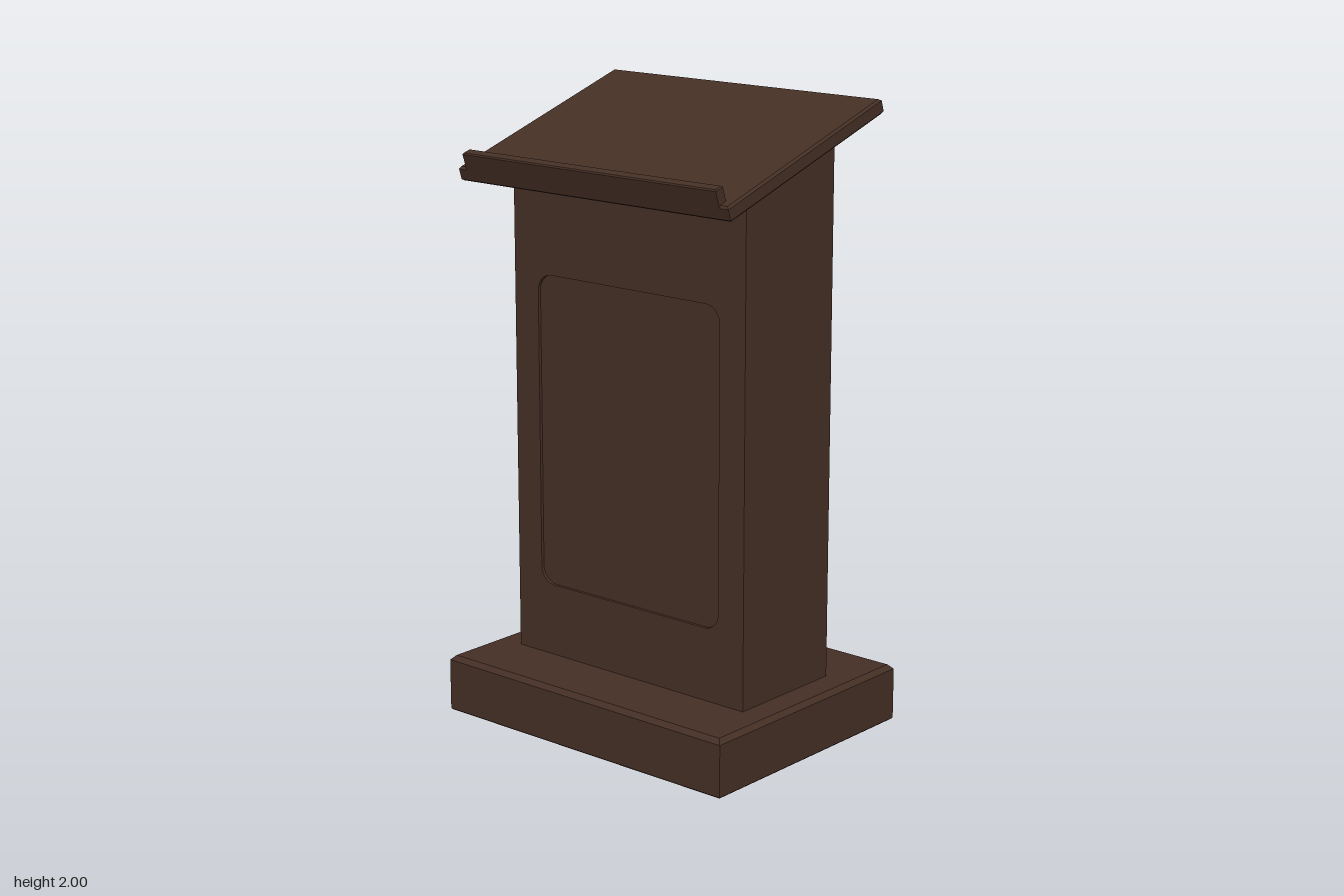
import * as THREE from 'three';

// Box with chamfered edges: stacked rectangular sections of [inset, y]
function loftedBox(halfW, halfD, sections) {
  const corners = [[1, 1], [1, -1], [-1, -1], [-1, 1]];
  const pos = [], idx = [];
  for (const [inset, y] of sections) {
    for (const [sx, sz] of corners) pos.push(sx * (halfW - inset), y, sz * (halfD - inset));
  }
  const last = (sections.length - 1) * 4;
  for (let r = 0; r < last; r += 4) {
    for (let i = 0; i < 4; i++) {
      const a = r + i, b = r + (i + 1) % 4;
      idx.push(a, b, b + 4, a, b + 4, a + 4);
    }
  }
  idx.push(0, 2, 1, 0, 3, 2, last, last + 1, last + 2, last, last + 2, last + 3);
  const g = new THREE.BufferGeometry();
  g.setAttribute('position', new THREE.Float32BufferAttribute(pos, 3));
  g.setIndex(idx);
  const flat = g.toNonIndexed();
  flat.computeVertexNormals();
  return flat;
}

function roundedRect(path, x, y0, y1, r) {
  path.moveTo(-x + r, y0);
  path.lineTo(x - r, y0);
  path.absarc(x - r, y0 + r, r, -Math.PI / 2, 0);
  path.lineTo(x, y1 - r);
  path.absarc(x - r, y1 - r, r, 0, Math.PI / 2);
  path.lineTo(-x + r, y1);
  path.absarc(-x + r, y1 - r, r, Math.PI / 2, Math.PI);
  path.lineTo(-x, y0 + r);
  path.absarc(-x + r, y0 + r, r, Math.PI, Math.PI * 1.5);
  return path;
}

export function createModel() {
  const model = new THREE.Group();
  model.name = 'lectern';
  const wood = new THREE.MeshStandardMaterial({ color: 0x452f25 });
  wood.name = 'darkWood';
  const add = (parent, name, geometry) => {
    const mesh = new THREE.Mesh(geometry, wood);
    mesh.name = name;
    parent.add(mesh);
    return mesh;
  };

  // Plinth with chamfered top edge
  add(model, 'base', loftedBox(0.565, 0.433,
    [[0.004, 0], [0, 0.004], [0, 0.17], [0.015, 0.185]]));

  // Column body, its top cut to the slope of the desk
  const halfW = 0.467, front = 0.207, recess = 0.01, bottom = 0.18;
  const slope = Math.tan(Math.PI / 10);
  const deskY = 1.838;
  const topAt = z => deskY - z * slope + 0.005;
  const side = new THREE.Shape();
  side.moveTo(-front, topAt(front - 2 * front + 2 * front - 0));
  side.curves.length = 0;
  side.moveTo(-(front - recess), bottom);
  side.lineTo(front, bottom);
  side.lineTo(front, topAt(-front));
  side.lineTo(-(front - recess), topAt(front - recess));
  side.closePath();
  const body = new THREE.ExtrudeGeometry(side, { depth: 2 * halfW, bevelEnabled: false });
  body.translate(0, 0, -halfW).rotateY(Math.PI / 2);
  add(model, 'column', body);

  // Front face framing the shallow rounded recess
  const face = new THREE.Shape();
  face.moveTo(-halfW, bottom);
  face.lineTo(halfW, bottom);
  face.lineTo(halfW, topAt(front));
  face.lineTo(-halfW, topAt(front));
  face.closePath();
  face.holes.push(roundedRect(new THREE.Path(), 0.368, 0.42, 1.43, 0.055));
  const frame = new THREE.ExtrudeGeometry(face, { depth: recess, bevelEnabled: false, curveSegments: 8 });
  add(model, 'frontFrame', frame).position.z = front - recess;

  // Sloping desk with a book ledge on its front edge
  const desk = new THREE.Group();
  desk.name = 'desk';
  desk.position.set(0, deskY, 0.003);
  desk.rotation.x = Math.PI / 10;
  model.add(desk);
  add(desk, 'deskTop', loftedBox(0.538, 0.3775,
    [[0.006, 0], [0, 0.006], [0, 0.041], [0.007, 0.048]]));
  add(desk, 'bookLedge', loftedBox(0.505, 0.0165,
    [[0, 0.04], [0, 0.094], [0.004, 0.098]])).position.z = 0.361;

  return model;
}
